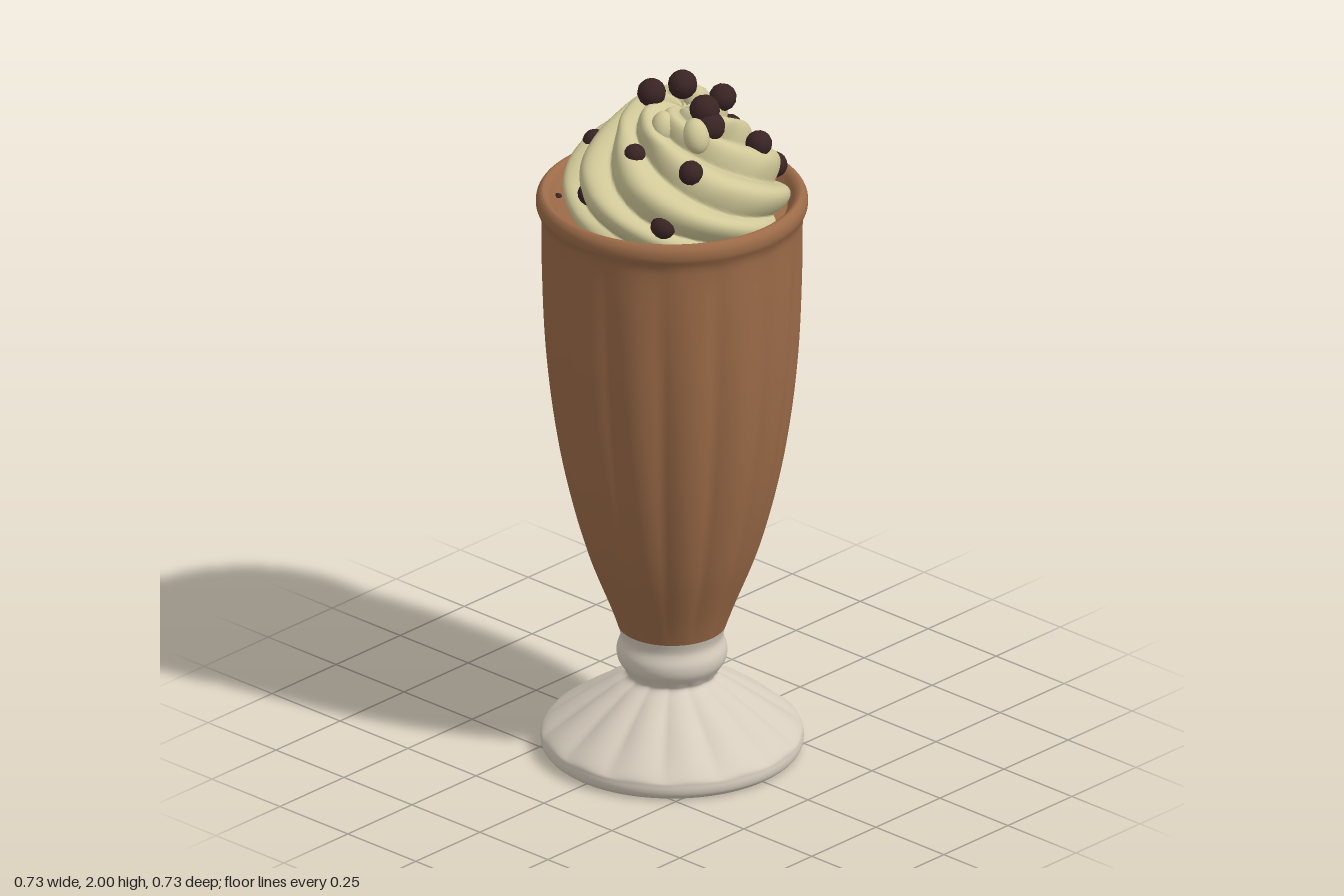
import * as THREE from 'three';
import { mergeVertices } from 'three/addons/utils/BufferGeometryUtils.js';

const mat = (name, color) => {
  const m = new THREE.MeshStandardMaterial({ color });
  m.name = name;
  return m;
};

// Smooth turned surface from [radius, height] points; warp(v, angle, t) then moves each vertex.
function turned(points, steps, segments, warp) {
  const curve = new THREE.SplineCurve(points.map(([r, y]) => new THREE.Vector2(r, y)));
  const profile = curve.getPoints(steps);
  profile.forEach((p) => { p.x = Math.max(p.x, 0); });
  let geo = new THREE.LatheGeometry(profile, segments);
  const pos = geo.attributes.position;
  const v = new THREE.Vector3();
  for (let i = 0; i < pos.count; i++) {
    v.fromBufferAttribute(pos, i);
    const angle = (Math.floor(i / profile.length) / segments) * Math.PI * 2;
    warp(v, angle, (i % profile.length) / steps);
    pos.setXYZ(i, v.x, v.y, v.z);
  }
  // weld the seam so that the shading is continuous
  geo.deleteAttribute('uv');
  geo.deleteAttribute('normal');
  geo = mergeVertices(geo, 1e-5);
  geo.computeVertexNormals();
  return geo;
}

export function createModel() {
  const group = new THREE.Group();
  group.name = 'milkshake';
  const glass = mat('pale glass', 0xd6ccbd);
  const shake = mat('chocolate shake', 0x9c6b48);
  const cream = mat('whipped cream', 0xd0c898);
  const chocolate = mat('dark chocolate', 0x3a2424);

  const add = (name, geo, material, parent = group) => {
    const mesh = new THREE.Mesh(geo, material);
    mesh.name = name;
    parent.add(mesh);
    return mesh;
  };

  // Shallow vertical flutes that fade in and out between two heights
  const flute = (low, high, depth) => (v, a) => {
    const k = THREE.MathUtils.clamp((v.y - low) / (high - low), 0, 1);
    const s = 1 - depth * Math.sin(Math.PI * k) ** 0.6 * (1 - Math.abs(Math.cos(a * 7)));
    v.x *= s;
    v.z *= s;
  };

  // Foot and neck
  const foot = [[0.335, 0], [0.35, 0.015], [0.352, 0.04], [0.338, 0.068], [0.25, 0.135], [0.165, 0.19],
    [0.125, 0.215], [0.128, 0.235], [0.145, 0.265], [0.148, 0.295], [0.138, 0.33], [0.145, 0.362]];
  add('foot', turned(foot, 66, 140, flute(0.05, 0.24, 0.07)), glass);
  const underside = add('footUnderside', new THREE.CircleGeometry(0.335, 70), glass);
  underside.rotation.x = Math.PI / 2;

  // Fluted cup with a rounded lip
  const cup = [[0.145, 0.362], [0.17, 0.43], [0.235, 0.6], [0.287, 0.8], [0.321, 1.0], [0.341, 1.2],
    [0.349, 1.4], [0.35, 1.53], [0.353, 1.575], [0.364, 1.605], [0.362, 1.63], [0.348, 1.645],
    [0.332, 1.638], [0.318, 1.618], [0.306, 1.6]];
  add('cup', turned(cup, 90, 140, flute(0.37, 1.58, 0.045)), shake);

  // Drink surface inside the lip
  const drink = add('drinkSurface', new THREE.CircleGeometry(0.312, 70), shake);
  drink.rotation.x = -Math.PI / 2;
  drink.position.y = 1.606;

  // Whipped cream: a dome with ridges that wind outward on the way down
  const dome = [[0.285, 1.595], [0.292, 1.64], [0.285, 1.69], [0.255, 1.745], [0.207, 1.795],
    [0.165, 1.84], [0.14, 1.875], [0.105, 1.905], [0.055, 1.915], [0, 1.9]];
  const swirl = (v, a, t) => {
    const phase = a + t * 3.8;
    const ridge = Math.abs(Math.cos(phase * 3.5)) - 0.64;
    const fade = Math.min(1, (1 - t) * 5);
    const s = 1 + fade * (0.13 * ridge + 0.045 * Math.cos(phase - 1.6));
    v.x = v.x * s + 0.005 + 0.035 * t;
    v.z *= s;
    v.y += 0.03 * ridge * fade * Math.min(1, t * 4);
  };
  add('creamSwirl', turned(dome, 80, 168, swirl), cream);

  // Curled tips around the top of the cream: x, y, z, radius
  const tips = new THREE.Group();
  tips.name = 'creamTips';
  group.add(tips);
  const ball = new THREE.SphereGeometry(1, 16, 12);
  [[-0.03, 1.9, -0.08, 0.036], [-0.07, 1.885, -0.01, 0.036], [0.06, 1.885, 0.1, 0.032],
    [0.15, 1.875, 0.065, 0.036], [0.04, 1.905, -0.05, 0.035]].forEach(([x, y, z, r]) => {
    const tip = add('creamTip', ball, cream, tips);
    tip.position.set(x, y, z);
    tip.scale.set(r, r * 1.35, r);
    tip.rotation.set(-z * 3, 0, x * 3);
  });

  // Chocolate pieces: x, y, z, radius
  const pieces = new THREE.Group();
  pieces.name = 'chocolatePieces';
  group.add(pieces);
  const nugget = new THREE.SphereGeometry(1, 12, 8);
  [[0.025, 1.96, -0.015, 0.04], [-0.03, 1.94, 0.048, 0.039], [0.1, 1.92, -0.092, 0.038],
    [0.125, 1.925, 0.005, 0.041], [0.15, 1.885, 0.012, 0.042], [0.19, 1.8, 0.128, 0.034],
    [0.195, 1.8, -0.132, 0.036], [-0.11, 1.77, -0.18, 0.037], [0.04, 1.78, -0.182, 0.037],
    [0.142, 1.68, -0.248, 0.036], [-0.072, 1.655, -0.288, 0.028], [0.04, 1.655, -0.28, 0.027],
    [-0.205, 1.75, 0.083, 0.034], [-0.13, 1.79, 0.127, 0.027], [0.03, 1.82, 0.178, 0.03],
    [-0.07, 1.695, 0.245, 0.034], [0.182, 1.672, 0.228, 0.034],
    [-0.25, 1.603, 0.18, 0.012]].forEach(([x, y, z, r], i) => {
    const piece = add('chocolatePiece', nugget, chocolate, pieces);
    piece.position.set(x, y, z);
    piece.scale.setScalar(r);
    piece.rotation.set(i * 1.3, i * 2.1, i * 0.7);
  });

  return group;
}
